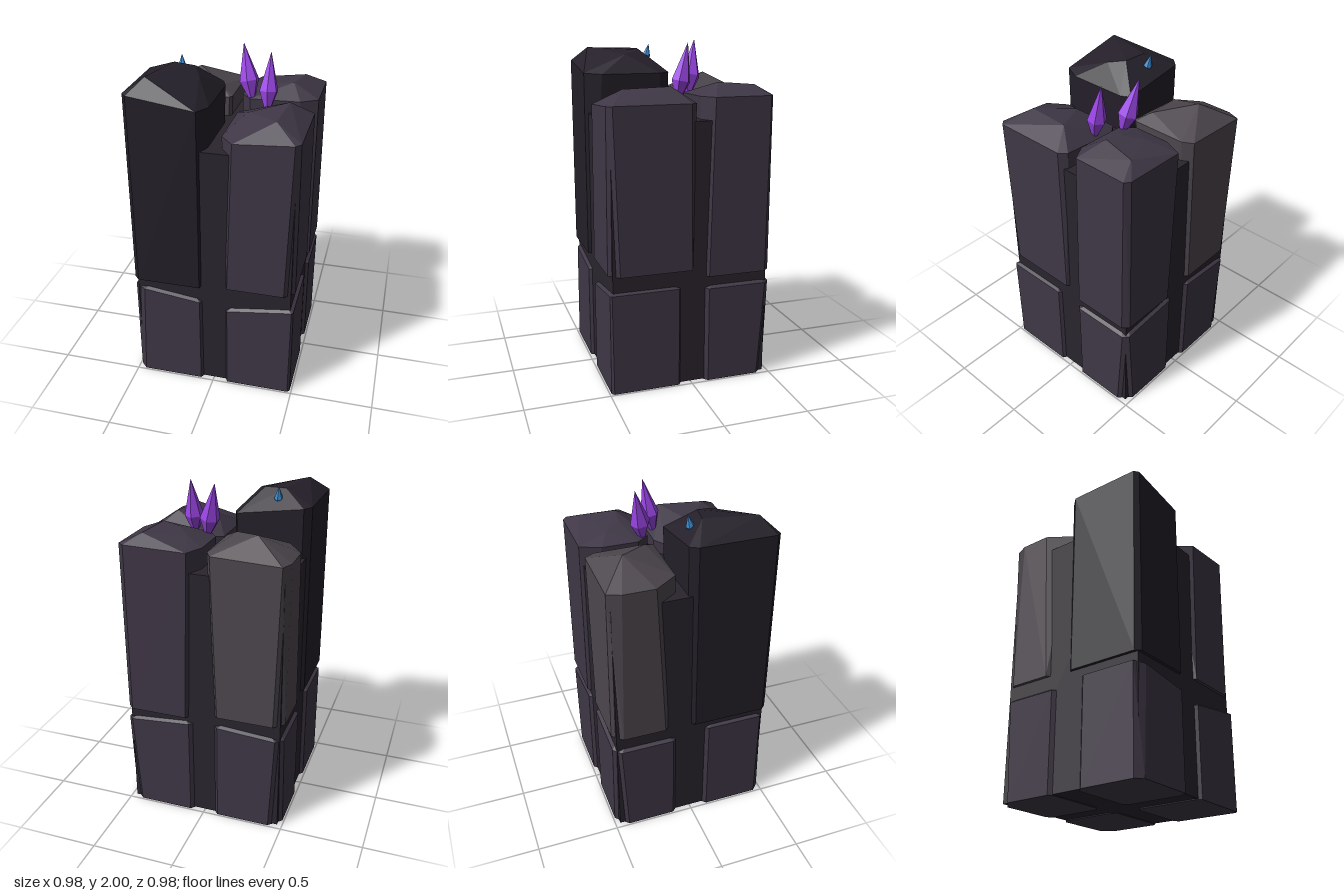
import * as THREE from 'three';
import { ConvexGeometry } from 'three/addons/geometries/ConvexGeometry.js';

const V = (x, y, z) => new THREE.Vector3(x, y, z);
const stone = 0x3f3746;

function mesh(name, geometry, color) {
  const m = new THREE.Mesh(geometry, new THREE.MeshStandardMaterial({ color, flatShading: true }));
  m.name = name;
  return m;
}

// Rectangle with four cut corners [dx, dz] (back left, back right, front right, front left).
// The heights are given for its left and right edges.
function ring([x0, x1, z0, z1], cuts, yLeft, yRight, inset = 0) {
  const corners = [[x0, z0, 1, 1], [x1, z0, -1, 1], [x1, z1, -1, -1], [x0, z1, 1, -1]];
  return corners.flatMap(([x, z, sx, sz], i) => {
    const [dx, dz] = cuts[i];
    x += sx * inset;
    z += sz * inset;
    return [[x + sx * dx, z], [x, z + sz * dz]].map(([px, pz]) =>
      V(px, yLeft + (yRight - yLeft) * (px - x0) / (x1 - x0), pz));
  });
}

// Tall upper stones: foot and rim rings, then the peaks of the faceted cap
const pillars = [
  { name: 'frontLeftPillar', color: 0x241f29, y: 0.69, rimY: [1.865, 1.8],
    foot: [-0.49, -0.06, -0.02, 0.49], footCuts: [[0.04, 0.04], [0.03, 0.05], [0.02, 0.06], [0.03, 0.03]],
    rim: [-0.49, -0.03, -0.03, 0.49], rimCuts: [[0.04, 0.045], [0.025, 0.06], [0.045, 0.1], [0.025, 0.025]],
    peaks: [[-0.38, 1.945, 0.4], [-0.31, 1.94, 0.1], [-0.18, 1.935, 0.12], [-0.13, 1.91, 0.22]] },
  { name: 'frontRightPillar', color: stone, y: 0.71, rimY: [1.64, 1.67],
    foot: [0.06, 0.49, -0.02, 0.49], footCuts: [[0.06, 0.05], [0.04, 0.02], [0.06, 0.06], [0.03, 0.08]],
    rim: [0.04, 0.49, -0.03, 0.49], rimCuts: [[0.07, 0.05], [0.04, 0.04], [0.03, 0.03], [0.08, 0.1]],
    peaks: [[0.36, 1.755, 0.09], [0.14, 1.72, 0.21], [0.335, 1.745, 0.365]] },
  { name: 'backRightPillar', color: stone, y: 0.66, rimY: [1.69, 1.7],
    foot: [0.05, 0.49, -0.49, -0.085], footCuts: [[0.06, 0.08], [0.035, 0.035], [0.03, 0.02], [0.06, 0.06]],
    rim: [0.03, 0.49, -0.49, -0.075], rimCuts: [[0.05, 0.12], [0.035, 0.025], [0.1, 0.055], [0.06, 0.075]],
    peaks: [[0.33, 1.77, -0.2], [0.37, 1.755, -0.41], [0.14, 1.73, -0.31], [0.22, 1.75, -0.21]] },
  { name: 'backLeftPillar', color: 0x4d474e, y: 0.7, rimY: [1.67, 1.69],
    foot: [-0.49, -0.05, -0.49, -0.09], footCuts: [[0.06, 0.06], [0.04, 0.05], [0.03, 0.03], [0.08, 0.08]],
    rim: [-0.49, -0.02, -0.49, -0.08], rimCuts: [[0.03, 0.08], [0.035, 0.06], [0.015, 0.02], [0.1, 0.14]],
    peaks: [[-0.28, 1.785, -0.34], [-0.1, 1.735, -0.155]] },
];

// Base stones: foot rectangle, cut corners and sloping top
const blocks = [
  { name: 'frontLeftBase', box: [-0.49, -0.05, 0.07, 0.49], topY: [0.635, 0.58],
    cuts: [[0.04, 0.04], [0.03, 0.03], [0.03, 0.05], [0.04, 0.04]],
    topCuts: [[0.04, 0.04], [0.03, 0.03], [0.03, 0.05], [0.065, 0.04]] },
  { name: 'frontRightBase', box: [0.07, 0.49, 0.06, 0.49], topY: [0.545, 0.605],
    cuts: [[0.03, 0.03], [0.03, 0.02], [0.015, 0.015], [0.02, 0.04]],
    topCuts: [[0.03, 0.03], [0.03, 0.02], [0.01, 0.01], [0.02, 0.04]] },
  { name: 'backRightBase', box: [0.06, 0.49, -0.49, -0.085], topY: [0.62, 0.585],
    cuts: [[0.03, 0.03], [0.07, 0.07], [0.02, 0.02], [0.03, 0.03]],
    topCuts: [[0.03, 0.03], [0.03, 0.03], [0.02, 0.02], [0.03, 0.03]] },
  { name: 'backLeftBase', box: [-0.49, -0.06, -0.49, -0.1], topY: [0.6, 0.63],
    cuts: [[0.075, 0.075], [0.03, 0.03], [0.03, 0.03], [0.02, 0.02]],
    topCuts: [[0.045, 0.045], [0.03, 0.03], [0.03, 0.03], [0.02, 0.02]] },
];

// Pointed six-sided crystal running from its root to its tip
function crystal(name, color, root, tip, radius) {
  const axis = tip.clone().sub(root);
  const h = axis.length();
  const profile = [[0, 0], [radius * 0.35, 0], [radius, h * 0.32], [0, h]];
  const m = mesh(name, new THREE.LatheGeometry(profile.map(p => new THREE.Vector2(...p)), 6), color);
  m.position.copy(root);
  m.quaternion.setFromUnitVectors(V(0, 1, 0), axis.normalize());
  return m;
}

export function createModel() {
  const model = new THREE.Group();

  // Dark core seen in the joints between the stones
  const core = mesh('core', new THREE.BoxGeometry(0.94, 1.565, 0.94), 0x2a252e);
  core.position.y = 0.005 + 1.565 / 2;
  model.add(core);

  for (const p of pillars) {
    model.add(mesh(p.name, new ConvexGeometry([
      ...ring(p.foot, p.footCuts, p.y, p.y),
      ...ring(p.rim, p.rimCuts, ...p.rimY),
      ...p.peaks.map(q => V(...q)),
    ]), p.color));
  }

  for (const b of blocks) {
    const [l, r] = b.topY;
    model.add(mesh(b.name, new ConvexGeometry([
      ...ring(b.box, b.cuts, 0, 0),
      ...ring(b.box, b.topCuts, l, r),
      ...ring(b.box, b.topCuts, l + 0.02, r + 0.02, 0.03),
    ]), stone));
  }

  // Crystals growing from the tops
  model.add(
    crystal('purpleCrystalBack', 0x9c46e8, V(0.095, 1.69, -0.105), V(0.03, 2, -0.165), 0.06),
    crystal('purpleCrystalFront', 0x9c46e8, V(0.212, 1.67, 0), V(0.215, 1.99, -0.06), 0.057),
    crystal('blueCrystal', 0x3b8fd6, V(-0.28, 1.86, 0.05), V(-0.288, 1.965, 0.025), 0.026),
  );
  return model;
}
